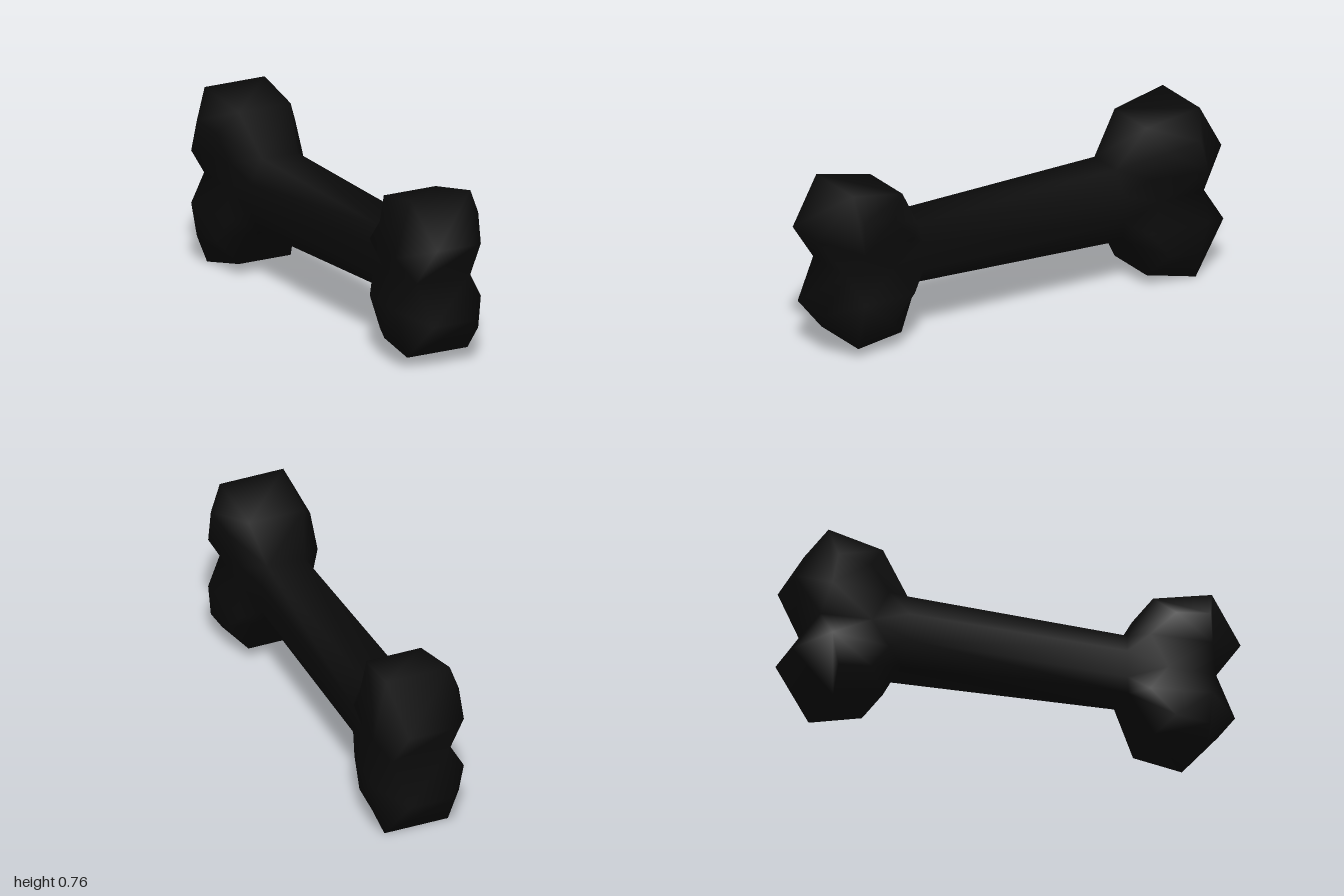
import * as THREE from 'three';

export function createModel() {
  const black = new THREE.MeshStandardMaterial({ color: 0x0b0b0b });
  black.name = 'black';

  const MID = 0.376;
  // rim corners of each lobe as [z, y]: shaft joint, shoulder, crown, tip
  const lobes = [
    { s: 1, u: 1, rim: [[0.5, 0.52], [0.6, 0.69], [0.855, 0.74], [1.0, 0.55]] },
    { s: 1, u: -1, rim: [[0.505, 0.255], [0.605, 0.065], [0.83, 0.045], [0.975, 0.21]] },
    { s: -1, u: 1, rim: [[-0.48, 0.54], [-0.605, 0.715], [-0.855, 0.76], [-0.99, 0.545]] },
    { s: -1, u: -1, rim: [[-0.51, 0.215], [-0.605, 0.05], [-0.835, 0], [-1.0, 0.21]] },
  ];
  const rimWidth = [0.085, 0.125, 0.145, 0.1];

  // every point exists twice, mirrored at +x and -x
  const positions = [];
  const add = (z, y, w) => {
    positions.push(w, y, z, -w, y, z);
    return positions.length / 3 - 2;
  };
  const index = [];
  // side face on the +x half, wound outward, with its mirror
  const side = (...p) => {
    for (let i = 1; i < p.length - 1; i++) {
      let [a, b, c] = [p[0], p[i], p[i + 1]];
      const Y = (k) => positions[k * 3 + 1], Z = (k) => positions[k * 3 + 2];
      const nx = (Y(b) - Y(a)) * (Z(c) - Z(a)) - (Z(b) - Z(a)) * (Y(c) - Y(a));
      if (nx < 0) [b, c] = [c, b];
      index.push(a, b, c, a + 1, c + 1, b + 1);
    }
  };

  // shared notch and crease points of each knob
  const notch = { 1: add(0.88, 0.38, 0.13), [-1]: add(-0.885, 0.375, 0.13) };
  const crease = { 1: add(0.66, MID, 0.15), [-1]: add(-0.66, MID, 0.15) };

  // knob lobes
  for (const l of lobes) {
    const { s, u } = l;
    l.r = l.rim.map(([z, y], i) => add(z, y, rimWidth[i]));
    const inner = (z, dy, w) => add(s * z, MID + u * dy, w);
    l.S = inner(0.49, 0.06, s > 0 ? 0.115 : 0.135);
    const C = inner(s > 0 ? 0.57 : 0.595, 0.125, 0.175);
    const B = inner(0.68, 0.235, 0.19);
    const T = inner(0.83, 0.253, 0.197);
    const A = inner(s > 0 ? 0.835 : 0.86, 0.115, 0.207);
    const N = notch[s], M = crease[s], [r0, r1, r2, r3] = l.r;
    side(r0, r1, B, C);
    side(r0, C, l.S);
    side(r1, r2, T, B);
    side(r2, r3, A, T);
    side(r3, N, A);
    side(A, N, M);
    side(A, M, C);
    side(A, C, B);
    side(A, B, T);
    side(l.S, C, M);
  }

  // shaft sides
  const [fu, fl, bu, bl] = lobes;
  side(fu.S, crease[1], fl.S);
  side(bu.S, crease[-1], bl.S);
  side(fu.r[0], bu.r[0], bu.S, fu.S);
  side(fu.S, bu.S, bl.S, fl.S);
  side(fl.r[0], bl.r[0], bl.S, fl.S);

  // rim strip all the way round, joining the two halves
  const loop = [
    ...fu.r, notch[1], ...fl.r.slice().reverse(),
    ...bl.r, notch[-1], ...bu.r.slice().reverse(),
  ];
  loop.forEach((a, i) => {
    const b = loop[(i + 1) % loop.length];
    index.push(a, a + 1, b + 1, a, b + 1, b);
  });

  const geometry = new THREE.BufferGeometry();
  geometry.setAttribute('position', new THREE.Float32BufferAttribute(positions, 3));
  geometry.setIndex(index);
  geometry.computeVertexNormals();

  const bone = new THREE.Mesh(geometry, black);
  bone.name = 'bone';
  const model = new THREE.Group();
  model.name = 'boneModel';
  model.add(bone);
  return model;
}
